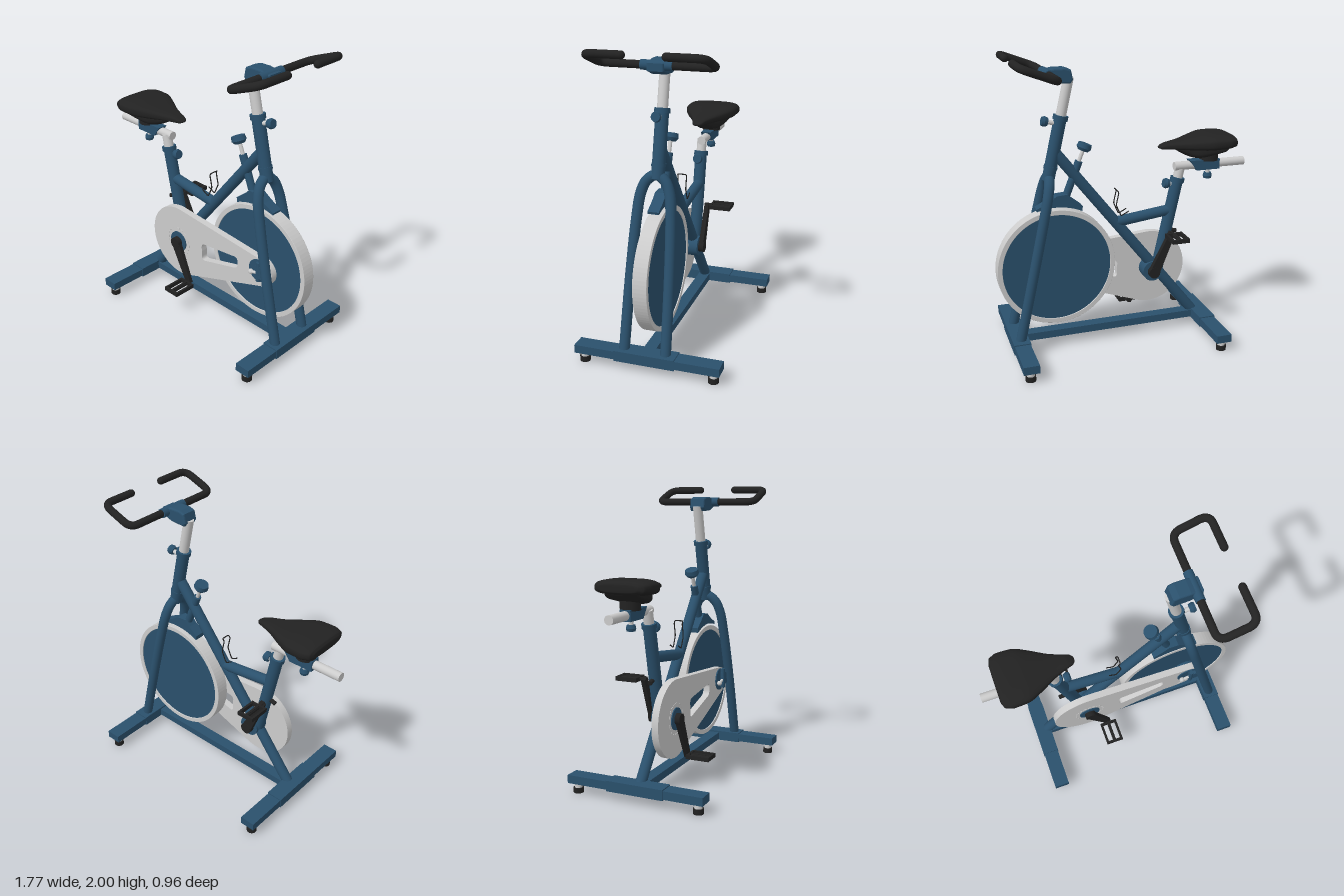
import * as THREE from 'three';

const V = (x, y, z = 0) => new THREE.Vector3(x, y, z);
const grey = new THREE.MeshStandardMaterial({ color: 0xcccccc });
const blue = new THREE.MeshStandardMaterial({ color: 0x2a506c });
const black = new THREE.MeshStandardMaterial({ color: 0x222222 });
const CZ = 0.01; // centre plane of the frame

export function createModel() {
  const root = new THREE.Group();
  root.name = 'exerciseBike';

  const add = (name, geo, mat, pos) => {
    const m = new THREE.Mesh(geo, mat);
    m.name = name;
    if (pos) m.position.copy(pos);
    root.add(m);
    return m;
  };
  const box = (name, mat, x0, x1, y0, y1, z0, z1) =>
    add(name, new THREE.BoxGeometry(x1 - x0, y1 - y0, z1 - z0), mat,
      V((x0 + x1) / 2, (y0 + y1) / 2, (z0 + z1) / 2));
  // Cylinder from a to b
  const rod = (name, mat, a, b, r, r2 = r) => {
    const d = b.clone().sub(a);
    const m = add(name, new THREE.CylinderGeometry(r2, r, d.length(), 32), mat, a.clone().add(b).multiplyScalar(0.5));
    m.quaternion.setFromUnitVectors(V(0, 1, 0), d.normalize());
    return m;
  };
  // Side profile extruded between z0 and z1
  const slab = (name, mat, shape, z0, z1, bevel = 0) =>
    add(name, new THREE.ExtrudeGeometry(shape, {
      depth: z1 - z0 - 2 * bevel, curveSegments: 48, bevelEnabled: bevel > 0,
      bevelSize: bevel, bevelThickness: bevel, bevelSegments: 3,
    }), mat, V(0, 0, z0 + bevel));
  const poly = (pts) => new THREE.Shape(pts.map(([x, y]) => new THREE.Vector2(x, y)));
  // Polyline with rounded corners
  const rounded = (pts, r) => {
    const path = new THREE.CurvePath();
    let from = pts[0];
    for (let i = 1; i < pts.length - 1; i++) {
      const p = pts[i];
      const a = p.clone().add(pts[i - 1].clone().sub(p).setLength(r));
      const b = p.clone().add(pts[i + 1].clone().sub(p).setLength(r));
      path.add(new THREE.LineCurve3(from, a));
      path.add(new THREE.QuadraticBezierCurve3(a, p, b));
      from = b;
    }
    path.add(new THREE.LineCurve3(from, pts[pts.length - 1]));
    return path;
  };
  // Loft along x through superellipse sections [x, halfWidth, yBottom, yTop]
  const loft = (name, mat, rows, e) => {
    const n = 40, pos = [], idx = [];
    const spline = new THREE.CatmullRomCurve3(rows.map((r) => V(r[1], r[2], r[3])));
    const steps = (rows.length - 1) * 4;
    const pw = (v) => Math.sign(v) * Math.abs(v) ** e;
    for (let i = 0; i <= steps; i++) {
      const k = Math.min(Math.floor(i / 4), rows.length - 2);
      const x = THREE.MathUtils.lerp(rows[k][0], rows[k + 1][0], i / 4 - k);
      const s = spline.getPoint(i / steps);
      for (let j = 0; j < n; j++) {
        const t = (j / n) * Math.PI * 2;
        pos.push(x, (s.y + s.z) / 2 + pw(Math.sin(t)) * (s.z - s.y) / 2, pw(Math.cos(t)) * s.x);
        const a = i * n + j, b = i * n + (j + 1) % n;
        if (i < steps) idx.push(a, a + n, b, b, a + n, b + n);
      }
    }
    for (let j = 1; j < n - 1; j++) {
      const o = steps * n;
      idx.push(0, j, j + 1, o, o + j + 1, o + j);
    }
    const g = new THREE.BufferGeometry();
    g.setAttribute('position', new THREE.Float32BufferAttribute(pos, 3));
    g.setIndex(idx);
    g.computeVertexNormals();
    return add(name, g, new THREE.MeshStandardMaterial({ color: mat.color, side: THREE.DoubleSide }));
  };

  // Base: crossbars, sleeves, feet and rail
  for (const [side, x] of [['rear', -0.565], ['front', 0.767]]) {
    box(side + 'Crossbar', blue, x - 0.053, x + 0.053, 0.07, 0.125, -0.48, 0.48);
    box(side + 'Sleeve', blue, x - 0.057, x + 0.057, 0.062, 0.132, -0.19, 0.21);
    for (const z of [-0.43, 0.43]) {
      rod('footPad', black, V(x, 0, z), V(x, 0.035, z), 0.034);
      rod('footStem', grey, V(x, 0.035, z), V(x, 0.07, z), 0.026);
    }
  }
  box('baseRail', blue, -0.52, 0.72, 0.068, 0.12, CZ - 0.04, CZ + 0.04);

  // Main frame tubes
  rod('mainTube', blue, V(-0.535, 0.1, CZ), V(0.465, 1.37, CZ), 0.037);
  rod('seatTube', blue, V(-0.25, 0.47, CZ), V(-0.394, 1.12, CZ), 0.042);
  rod('braceTube', blue, V(-0.34, 0.9, CZ), V(0.06, 0.85, CZ), 0.037);
  rod('bottomBracket', blue, V(-0.205, 0.47, -0.04), V(-0.205, 0.47, 0.062), 0.072);

  // Fork arch and head tube on one sloping line
  const steerX = (y) => 0.765 - 0.23 * (y - 0.12);
  const half = [[0.1, 0.138], [0.6, 0.128], [0.95, 0.112], [1.1, 0.095], [1.18, 0.06], [1.215, 0]];
  const arch = half.map(([y, z]) => V(steerX(y), y, 0.02 + z))
    .concat(half.slice(0, -1).reverse().map(([y, z]) => V(steerX(y), y, 0.02 - z)));
  add('fork', new THREE.TubeGeometry(new THREE.CatmullRomCurve3(arch), 90, 0.034, 20), blue);
  const steer = (y) => V(steerX(y), y, CZ);
  rod('headTube', blue, steer(1.19), steer(1.6), 0.042);
  rod('headRing', blue, steer(1.265), steer(1.285), 0.046);
  rod('headCollar', blue, steer(1.585), steer(1.615), 0.05);
  rod('handlebarPost', grey, steer(1.6), steer(1.86), 0.034);

  // Clamp knobs on the two posts
  const knob = (name, a, dir, len, r) => {
    const b = a.clone().addScaledVector(dir, len);
    rod(name + 'Stem', grey, a, b, 0.015);
    rod(name, blue, b, b.clone().addScaledVector(dir, 0.022), r * 0.8, r);
    rod(name + 'Cap', blue, b.clone().addScaledVector(dir, 0.022), b.clone().addScaledVector(dir, 0.04), r, r * 0.85);
  };
  knob('handlebarKnob', steer(1.56), V(0.975, 0.22), 0.08, 0.034);
  knob('seatPostKnob', V(-0.39, 1.075, CZ), V(0.975, 0.22), 0.06, 0.036);
  knob('saddleKnob', V(-0.615, 1.21), V(0, -1), 0.06, 0.032);
  rod('frameBolt', black, V(-0.31, 0.76, CZ), V(-0.39, 0.738, CZ), 0.015);

  // Handlebar and its clamp
  const bar = rounded([V(0.745, 1.975, 0.14), V(0.745, 1.975, 0.375), V(0.512, 1.888, 0.375),
    V(0.512, 1.888, -0.36), V(0.745, 1.975, -0.36), V(0.745, 1.975, -0.13)], 0.065);
  add('handlebar', new THREE.TubeGeometry(bar, 200, 0.025, 18), black);
  for (const z of [0.14, -0.13]) add('gripEnd', new THREE.SphereGeometry(0.025, 18, 12), black, V(0.745, 1.975, z));
  slab('handlebarClamp', blue, poly([[0.36, 1.85], [0.37, 1.9], [0.4, 1.91], [0.47, 1.91], [0.54, 1.895],
    [0.54, 1.865], [0.47, 1.84], [0.37, 1.835]]), CZ - 0.055, CZ + 0.055, 0.012);
  rod('barSleeve', blue, V(0.512, 1.888, CZ - 0.1), V(0.512, 1.888, CZ + 0.1), 0.031);

  // Saddle, slider and post
  rod('seatCollar', blue, V(-0.39, 1.1, CZ), V(-0.397, 1.13, CZ), 0.05);
  rod('seatPost', grey, V(-0.392, 1.11, CZ), V(-0.416, 1.215, CZ), 0.034);
  rod('seatSlider', grey, V(-0.885, 1.212), V(-0.365, 1.212), 0.03);
  slab('sliderClamp', blue, poly([[-0.69, 1.177], [-0.69, 1.248], [-0.47, 1.248], [-0.52, 1.177]]), -0.036, 0.036);
  rod('saddleMount', black, V(-0.62, 1.24), V(-0.62, 1.31), 0.065);
  loft('saddle', black, [[-0.77, 0.13, 1.36, 1.405], [-0.755, 0.17, 1.345, 1.424], [-0.7, 0.19, 1.335, 1.432],
    [-0.6, 0.185, 1.33, 1.432], [-0.5, 0.14, 1.33, 1.415], [-0.4, 0.085, 1.335, 1.395],
    [-0.3, 0.047, 1.34, 1.382], [-0.265, 0.035, 1.343, 1.37], [-0.248, 0.015, 1.35, 1.36]], 0.65);
  loft('saddleBase', black, [[-0.75, 0.1, 1.345, 1.37], [-0.7, 0.13, 1.305, 1.38], [-0.6, 0.12, 1.28, 1.38],
    [-0.52, 0.1, 1.268, 1.38], [-0.45, 0.06, 1.285, 1.38], [-0.36, 0.03, 1.335, 1.37]], 0.65);

  // Flywheel: rim ring with an inset disc
  const wheel = V(0.482, 0.588);
  const ring = new THREE.Shape().absarc(wheel.x, wheel.y, 0.403, 0, Math.PI * 2);
  ring.holes.push(new THREE.Path().absarc(wheel.x, wheel.y, 0.374, 0, Math.PI * 2));
  slab('flywheelRim', grey, ring, -0.045, 0.047, 0.002);
  rod('flywheelDisc', blue, V(wheel.x, wheel.y, -0.038), V(wheel.x, wheel.y, 0.04), 0.38);

  // Drive guard: tangent hull of two circles, with a slot
  const A = V(-0.205, 0.47), B = V(0.57, 0.57), rA = 0.265, rB = 0.1;
  const ang = Math.atan2(B.y - A.y, B.x - A.x), phi = Math.acos((rA - rB) / A.distanceTo(B));
  const guard = new THREE.Shape();
  guard.absarc(A.x, A.y, rA, ang + phi, ang - phi + Math.PI * 2);
  guard.absarc(B.x, B.y, rB, ang - phi, ang + phi);
  guard.closePath();
  const slot = rounded([V(0.03, 0.49), V(0.025, 0.55), V(0.37, 0.592), V(0.37, 0.507), V(0.03, 0.415), V(0.03, 0.49)], 0.034);
  guard.holes.push(new THREE.Path(slot.getPoints(8).map((p) => new THREE.Vector2(p.x, p.y))));
  slab('driveGuard', grey, guard, 0.06, 0.108);
  for (let i = 0; i < 20; i++) {
    const t = (i / 20) * Math.PI * 2;
    const tab = add('guardTab', new THREE.BoxGeometry(0.005, 0.022, 0.004), grey,
      V(A.x + Math.cos(t) * 0.105, A.y + Math.sin(t) * 0.105, 0.109));
    tab.rotation.z = t;
  }

  // Axle hub and tensioner beside the fork leg
  rod('axleHub', blue, V(0.56, 0.583, 0.03), V(0.56, 0.583, 0.116), 0.08);
  box('tensionerBracket', blue, 0.56, 0.65, 0.545, 0.635, 0.116, 0.142);
  rod('tensionerBolt', grey, V(0.51, 0.562, 0.13), V(0.6, 0.585, 0.13), 0.01);
  add('tensionerNut', new THREE.SphereGeometry(0.018, 16, 12), grey, V(0.51, 0.562, 0.13));
  rod('tensionerPost', blue, V(0.575, 0.52, 0.13), V(0.575, 0.66, 0.13), 0.016);

  // Cranks and pedals, opposite each other
  rod('crankBoss', blue, V(A.x, A.y, 0.1), V(A.x, A.y, 0.116), 0.076);
  rod('crankAxle', black, V(A.x, A.y, -0.078), V(A.x, A.y, 0.152), 0.04);
  for (const [s, z0, z1, p0, p1] of [[1, 0.118, 0.15, 0.15, 0.315], [-1, -0.075, -0.042, -0.24, -0.088]]) {
    const px = A.x + s * 0.128, py = A.y - s * 0.278;
    const arm = poly([[-0.034, 0], [-0.018, -0.31], [0.018, -0.31], [0.034, 0]]);
    const crank = slab('crankArm', black, arm, z0, z1, 0.004);
    crank.position.x = A.x;
    crank.position.y = A.y;
    crank.rotation.z = Math.atan2(s * 0.128, s * 0.278);
    rod('pedalAxle', black, V(px, py, Math.min(z0, p0)), V(px, py, Math.max(z1, p1)), 0.012);
    for (const dx of [-0.054, 0, 0.054]) box('pedalBar', black, px + dx - 0.008, px + dx + 0.008, py - 0.014, py + 0.014, p0, p1);
    for (const z of [p0, p1 - 0.016]) box('pedalEnd', black, px - 0.062, px + 0.062, py - 0.014, py + 0.014, z, z + 0.016);
  }

  // Brake: knob, stem and pad over the wheel
  const dir = V(-0.37, 0.93).normalize(), foot = V(0.4, 1.07, CZ);
  const at = (d) => foot.clone().addScaledVector(dir, d);
  rod('brakeTube', blue, at(0), at(0.25), 0.026);
  rod('brakeStem', grey, at(0.25), at(0.34), 0.013);
  rod('brakeKnob', blue, at(0.325), at(0.345), 0.035, 0.05);
  rod('brakeKnobCap', blue, at(0.345), at(0.375), 0.05, 0.045);
  const pad = poly([[0.295, 1.0], [0.36, 1.05], [0.4, 1.09], [0.47, 1.085], [0.53, 1.045], [0.61, 1.005], [0.605, 0.99]]);
  pad.absarc(wheel.x, wheel.y, 0.42, 1.27, 2.02);
  slab('brakePad', blue, pad, CZ - 0.037, CZ + 0.037);

  // Wire bottle holder on the main tube
  const wire = (z) => [V(-0.03, 0.93, z), V(0.025, 0.9, z), V(0.06, 0.98, z), V(0.04, 1.07, z), V(0.055, 1.085, z)];
  const loop = wire(CZ + 0.03).concat(wire(CZ - 0.03).reverse());
  add('bottleWire', new THREE.TubeGeometry(rounded(loop, 0.012), 140, 0.004, 8), black);
  const clip = box('bottleClip', blue, 0.14, 0.22, 1.01, 1.035, CZ - 0.03, CZ + 0.03);
  clip.rotation.z = 0.9;

  return root;
}
